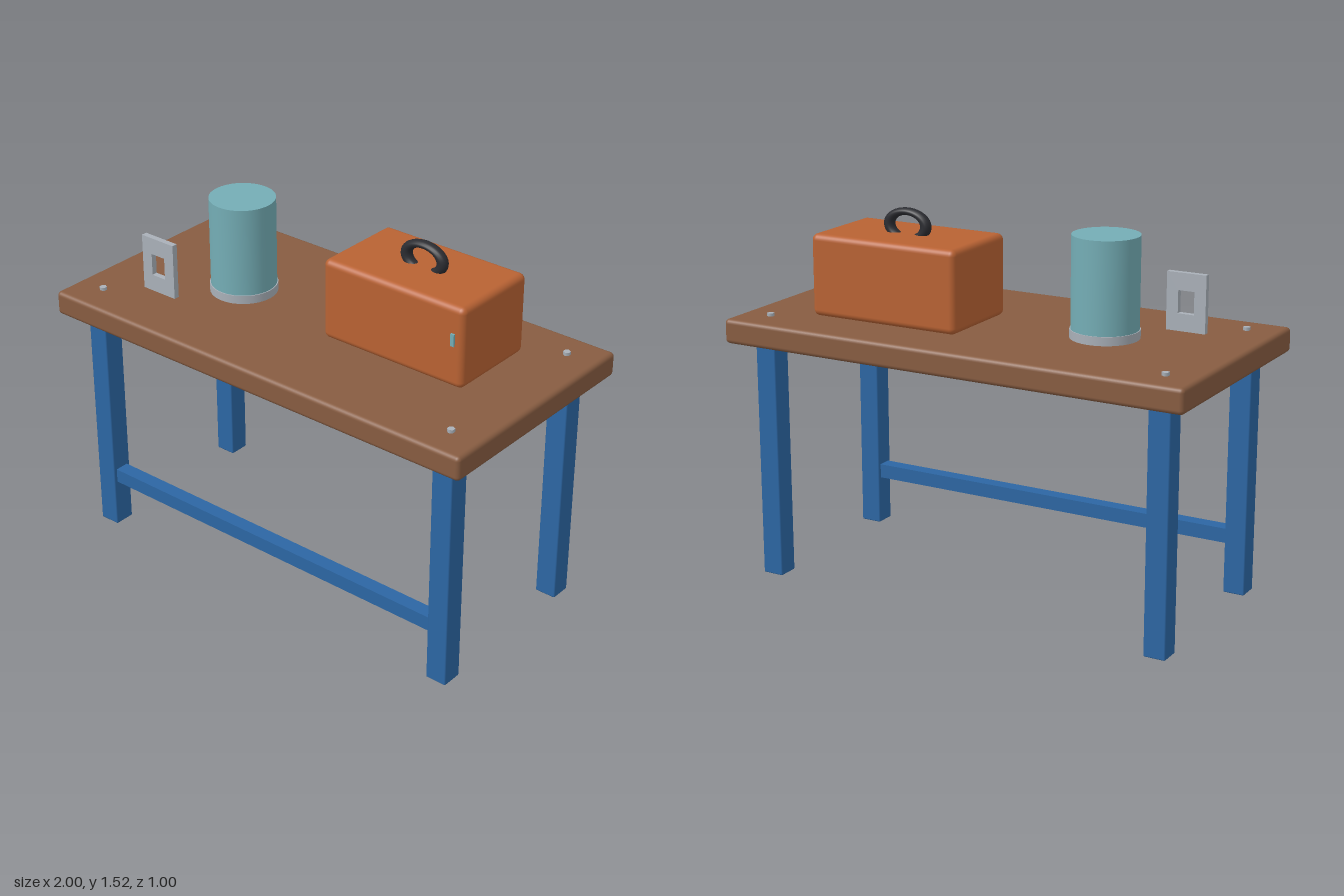
import * as THREE from 'three';
import { RoundedBoxGeometry } from 'three/addons/geometries/RoundedBoxGeometry.js';

const mat = (name, color) => {
  const m = new THREE.MeshStandardMaterial({ color });
  m.name = name;
  return m;
};

export function createModel() {
  const group = new THREE.Group();
  const wood = mat('wood', 0x875c41);
  const blue = mat('bluePaint', 0x2c66a3);
  const orange = mat('orangePaint', 0xb86233);
  const teal = mat('teal', 0x74adb5);
  const steel = mat('steel', 0xa9b0b8);
  const rubber = mat('blackRubber', 0x2b2c31);

  const add = (name, geometry, material, x, y, z, parent = group) => {
    const mesh = new THREE.Mesh(geometry, material);
    mesh.name = name;
    mesh.position.set(x, y, z);
    parent.add(mesh);
    return mesh;
  };

  const TOP = 1.085, LEG_X = 0.867, LEG_Z = 0.367;

  // Table: top, four legs with a bolt head above each, front stretcher
  add('tableTop', new RoundedBoxGeometry(2, 0.1, 1, 3, 0.018), wood, 0, TOP - 0.05, 0);
  const legGeo = new RoundedBoxGeometry(0.09, 0.99, 0.09, 1, 0.005);
  const boltGeo = new THREE.CylinderGeometry(0.015, 0.015, 0.014, 6);
  for (const sx of [-1, 1]) {
    for (const sz of [-1, 1]) {
      add('leg', legGeo, blue, sx * LEG_X, 0.495, sz * LEG_Z);
      add('bolt', boltGeo, steel, sx * LEG_X, TOP + 0.006, sz * LEG_Z);
    }
  }
  add('frontStretcher', new THREE.BoxGeometry(1.66, 0.06, 0.06), blue, 0, 0.235, LEG_Z);

  // Toolbox with a flattened ring handle sunk into the lid and a small latch
  const toolbox = new THREE.Group();
  toolbox.name = 'toolbox';
  toolbox.position.set(0.397, TOP, -0.083);
  group.add(toolbox);
  add('toolboxBody', new RoundedBoxGeometry(0.66, 0.333, 0.396, 4, 0.026), orange, 0, 0.1665, 0, toolbox);
  const handle = add('toolboxHandle', new THREE.TorusGeometry(0.084, 0.023, 16, 48), rubber, 0, 0.366, 0, toolbox);
  handle.scale.y = 0.65;
  add('toolboxLatch', new THREE.BoxGeometry(0.016, 0.05, 0.02), teal, 0.285, 0.2, 0.196, toolbox);

  // Canister standing on a steel base ring
  add('canister', new THREE.CylinderGeometry(0.133, 0.133, 0.402, 48), teal, -0.437, TOP + 0.201, 0);
  add('canisterBase', new THREE.CylinderGeometry(0.137, 0.137, 0.035, 48), steel, -0.437, TOP + 0.0175, 0);

  // Upright steel plate with a rectangular window
  const rect = (path, w, h) => {
    path.moveTo(-w / 2, -h / 2);
    path.lineTo(w / 2, -h / 2);
    path.lineTo(w / 2, h / 2);
    path.lineTo(-w / 2, h / 2);
    path.closePath();
    return path;
  };
  const plate = rect(new THREE.Shape(), 0.166, 0.232);
  plate.holes.push(rect(new THREE.Path(), 0.068, 0.092));
  add('windowPlate', new THREE.ExtrudeGeometry(plate, { depth: 0.024, bevelEnabled: false }),
    steel, -0.672, TOP + 0.116, 0.222);

  return group;
}
